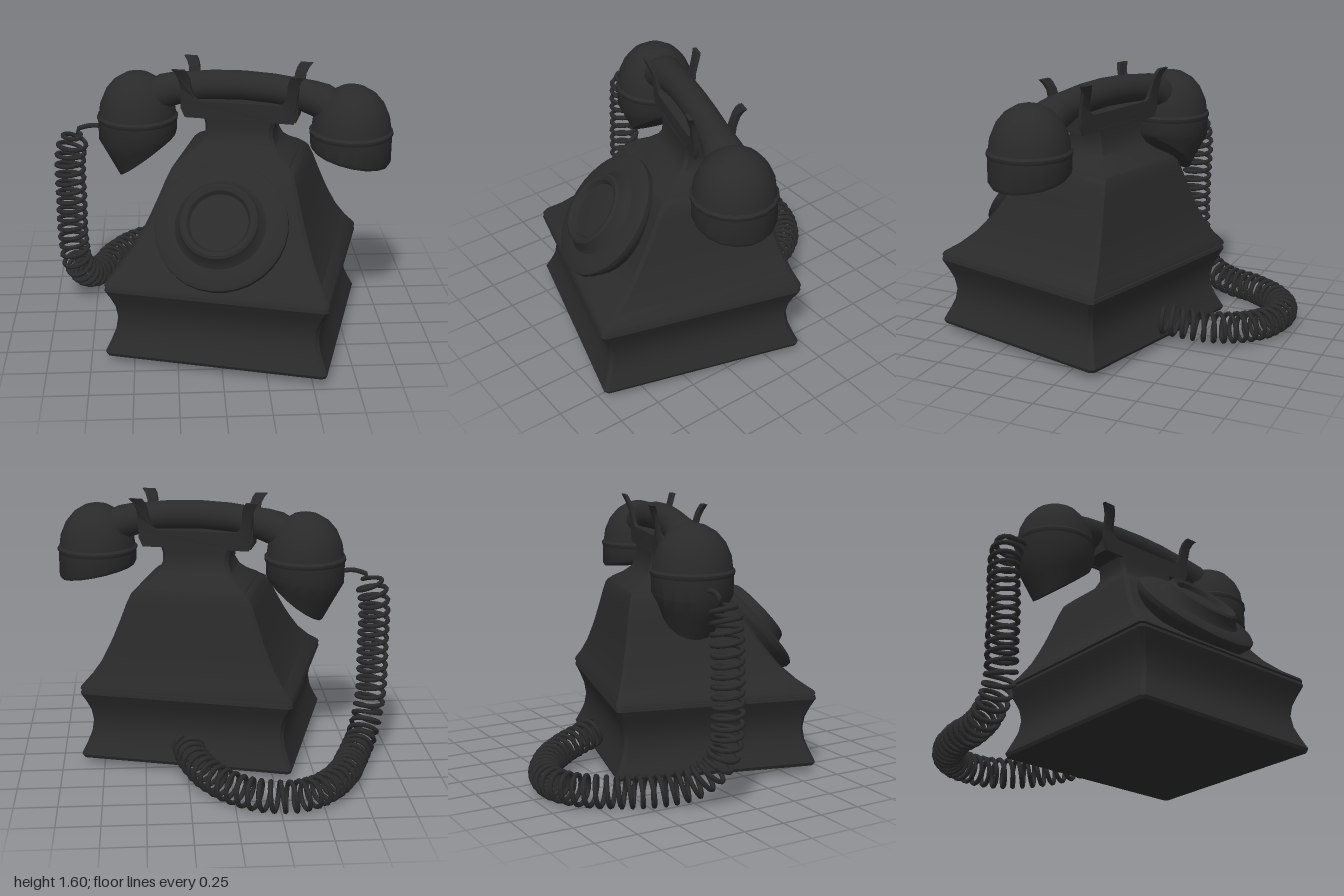
import * as THREE from 'three';
import { toCreasedNormals } from 'three/addons/utils/BufferGeometryUtils.js';

const black = new THREE.MeshStandardMaterial({ color: 0x2a2a2a });
black.name = 'black bakelite';

const V = (x, y, z) => new THREE.Vector3(x, y, z);

function add(parent, name, geometry, crease = 0.6) {
  const mesh = new THREE.Mesh(crease ? toCreasedNormals(geometry, crease) : geometry, black);
  mesh.name = name;
  parent.add(mesh);
  return mesh;
}

// Skin a list of closed cross-sections and cap both ends
function loft(rings) {
  const n = rings[0].length, pos = [], index = [];
  rings.forEach(r => r.forEach(p => pos.push(p.x, p.y, p.z)));
  for (let i = 0; i < rings.length - 1; i++) {
    for (let j = 0; j < n; j++) {
      const a = i * n + j, b = i * n + (j + 1) % n;
      index.push(a, b, b + n, a, b + n, a + n);
    }
  }
  [0, rings.length - 1].forEach((i, top) => {
    const c = rings[i].reduce((s, p) => s.add(p), V(0, 0, 0)).divideScalar(n);
    const k = pos.length / 3;
    pos.push(c.x, c.y, c.z);
    for (let j = 0; j < n; j++) {
      const a = i * n + j, b = i * n + (j + 1) % n;
      if (top) index.push(k, a, b); else index.push(k, b, a);
    }
  });
  const g = new THREE.BufferGeometry();
  g.setAttribute('position', new THREE.Float32BufferAttribute(pos, 3));
  g.setIndex(index);
  return g;
}

// Rectangle with small chamfered corners
function rectRing(hx, back, front, y, c = 0.02) {
  return [[hx, front - c], [hx, back + c], [hx - c, back], [-hx + c, back],
    [-hx, back + c], [-hx, front - c], [-hx + c, front], [hx - c, front]].map(([x, z]) => V(x, y, z));
}

// Horizontal circle, optionally shifted and tilted along x
function roundRing(r, y, cx, tilt = 0, rz = r) {
  return Array.from({ length: 18 }, (_, i) => {
    const a = i / 18 * Math.PI * 2;
    return V(cx + r * Math.cos(a), y + tilt * Math.cos(a), -rz * Math.sin(a));
  });
}

function buildBody(phone) {
  // Base with hollowed sides
  const base = [[0.05, 0.008], [0.07, 0], [0.14, 0.03], [0.2, 0.052], [0.27, 0.062],
    [0.34, 0.052], [0.4, 0.03], [0.46, 0.003], [0.48, 0.008]];
  add(phone, 'base', loft(base.map(([y, d]) => rectRing(0.643 - d, -0.609 + d, 0.609 - d, y))));
  add(phone, 'seam', loft([0.47, 0.51].map(y => rectRing(0.615, -0.58, 0.58, y))));

  // Sloping upper housing
  const slope = [[0, 0.01], [0.03, 0.03], [0.13, 0.2], [0.27, 0.38], [0.4, 0.5],
    [0.52, 0.6], [0.7, 0.73], [0.85, 0.83], [0.96, 0.92], [1, 1]];
  add(phone, 'housing', loft(slope.map(([t, f]) =>
    rectRing(0.643 - 0.313 * f, -0.609 + 0.169 * f, 0.609 - 0.509 * f, 0.49 + 0.59 * t))));

  // Waisted neck under the cradle
  const neck = [[1.075, 0.33, 0.27], [1.095, 0.315, 0.25], [1.13, 0.26, 0.195], [1.17, 0.22, 0.15],
    [1.22, 0.198, 0.125], [1.27, 0.2, 0.12], [1.32, 0.215, 0.12]];
  add(phone, 'neck', loft(neck.map(([y, a, b]) => rectRing(a, -0.17 - b, -0.17 + b, y))));

  // Dial lying on the front slope
  const profile = [[0.3, -0.17], [0.36, -0.06], [0.38, -0.03], [0.38, 0], [0.36, 0.015], [0.26, 0.02],
    [0.235, 0.045], [0.22, 0.085], [0.205, 0.095], [0.18, 0.085], [0.165, 0.06], [0.08, 0.068], [0, 0.07]];
  const dial = add(phone, 'dial',
    new THREE.LatheGeometry(profile.map(([r, h]) => new THREE.Vector2(r, h)), 32));
  dial.position.set(-0.01, 0.83, 0.381);
  dial.rotation.x = Math.atan2(0.75, 0.66);
}

function buildCradle(phone) {
  const cradle = new THREE.Group();
  cradle.name = 'cradle';
  cradle.position.z = -0.17;
  phone.add(cradle);
  const floor = add(cradle, 'cradleFloor', new THREE.BoxGeometry(0.66, 0.09, 0.2));
  floor.position.y = 1.355;

  // Side plates with prongs that curl outward
  const half = [[0.32, 1.305], [0.345, 1.36], [0.345, 1.42], [0.345, 1.48], [0.35, 1.54], [0.365, 1.575],
    [0.385, 1.6], [0.31, 1.6], [0.295, 1.575], [0.285, 1.54], [0.28, 1.48], [0.265, 1.43], [0.24, 1.41]];
  const outline = [...half, ...half.map(([x, y]) => [-x, y]).reverse()];
  const shape = new THREE.Shape(outline.map(([x, y]) => new THREE.Vector2(x, y)));
  for (const side of [1, -1]) {
    const g = new THREE.ExtrudeGeometry(shape, { depth: 0.022, bevelEnabled: false });
    const p = g.attributes.position;
    for (let i = 0; i < p.count; i++) {
      const t = Math.max(0, p.getY(i) - 1.4) / 0.2;
      p.setZ(i, p.getZ(i) + 0.095 + 0.05 * t * t);
    }
    add(cradle, side > 0 ? 'frontProngs' : 'backProngs', g).rotation.y = side > 0 ? 0 : Math.PI;
  }
}

function buildHandset(phone) {
  const handset = new THREE.Group();
  handset.name = 'handset';
  handset.position.z = -0.165;
  phone.add(handset);

  // Arched handle, thicker towards the ends
  const arm = [[0.6, 1.33, 0.13], [0.5, 1.4, 0.12], [0.42, 1.435, 0.103], [0.32, 1.459, 0.09],
    [0.18, 1.48, 0.086], [0, 1.488, 0.085]];
  const stations = [...arm.map(([x, y, r]) => [-x, y, r]), ...arm.slice(0, -1).reverse()];
  add(handset, 'handle', loft(stations.map(([x, y, r]) => Array.from({ length: 16 }, (_, i) => {
    const a = i / 16 * Math.PI * 2;
    return V(x, y + r * Math.cos(a), r * Math.sin(a));
  }))));

  // Domes and rims are shared; the cups differ
  for (const side of [-1, 1]) {
    const cx = 0.638 * side;
    const dome = [0, 0.2, 0.4, 0.6, 0.8, 0.93].map(t => {
      const a = t * Math.PI / 2;
      return roundRing(0.232 * Math.cos(a), 1.26 + 0.27 * Math.sin(a), cx);
    });
    add(handset, side < 0 ? 'mouthDome' : 'earDome', loft(dome));
    add(handset, side < 0 ? 'mouthRim' : 'earRim',
      loft([[0.235, 1.235], [0.243, 1.25], [0.243, 1.262], [0.232, 1.275]].map(([r, y]) => roundRing(r, y, cx))));
  }
  add(handset, 'earCup', loft([
    roundRing(0.2, 1.12, 0.638, -0.04), roundRing(0.225, 1.11, 0.638, -0.045),
    roundRing(0.236, 1.13, 0.638, -0.045), roundRing(0.236, 1.245, 0.638)]));
  add(handset, 'mouthHorn', loft([
    roundRing(0.14, 1.01, -0.583, 0.11, 0.14), roundRing(0.165, 1.01, -0.583, 0.128, 0.165),
    roundRing(0.2, 1.075, -0.61, 0.075, 0.2),
    roundRing(0.234, 1.14, -0.638, 0.025), roundRing(0.236, 1.245, -0.638)]));
}

function buildCord(model) {
  // Centre line: down from the mouthpiece, then round behind the phone
  const guide = new THREE.CatmullRomCurve3([
    [-0.84, 1.15, -0.12], [-0.875, 1.0, -0.13], [-0.88, 0.7, -0.12], [-0.88, 0.45, -0.12],
    [-0.86, 0.28, -0.14], [-0.8, 0.15, -0.25], [-0.72, 0.1, -0.42], [-0.65, 0.1, -0.6],
    [-0.53, 0.1, -0.78], [-0.4, 0.1, -0.88], [-0.27, 0.1, -0.905], [-0.1, 0.1, -0.86],
    [0.06, 0.115, -0.75], [0.17, 0.135, -0.6], [0.23, 0.16, -0.45], [0.25, 0.18, -0.34],
  ].map(p => V(...p)));
  const turns = 48, steps = turns * 10;
  const frames = guide.computeFrenetFrames(steps);
  const points = [V(-0.66, 1.18, -0.13), V(-0.75, 1.185, -0.13)];
  for (let i = 0; i <= steps; i++) {
    const a = i / 10 * Math.PI * 2, r = 0.083 * Math.min(1, 0.3 + i / 15);
    points.push(guide.getPointAt(i / steps)
      .addScaledVector(frames.normals[i], r * Math.cos(a))
      .addScaledVector(frames.binormals[i], r * Math.sin(a)));
  }
  const coil = new THREE.CatmullRomCurve3(points);
  coil.arcLengthDivisions = 3000;
  add(model, 'coiledCord', new THREE.TubeGeometry(coil, 760, 0.0145, 6), 0);
}

export function createModel() {
  const model = new THREE.Group();
  model.name = 'telephone';
  const phone = new THREE.Group();
  phone.name = 'phone';
  phone.position.set(0.11, 0, 0.235);
  phone.rotation.y = -0.267;
  model.add(phone);
  buildBody(phone);
  buildCradle(phone);
  buildHandset(phone);
  buildCord(model);
  return model;
}
